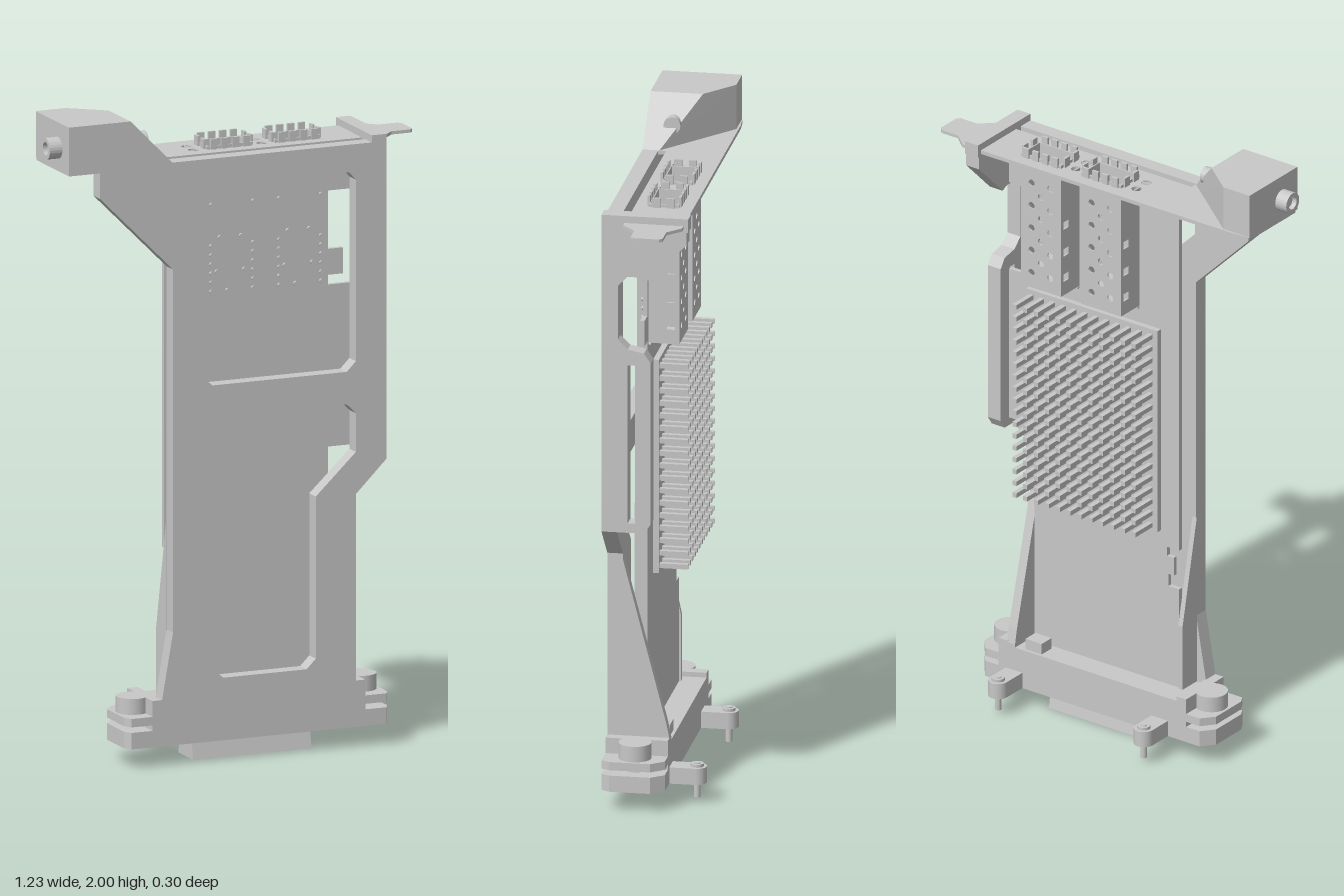
import * as THREE from 'three';
import { ConvexGeometry } from 'three/addons/geometries/ConvexGeometry.js';

export function createModel() {
  const model = new THREE.Group();
  const grey = new THREE.MeshStandardMaterial({ color: 0xc8c8c8, side: THREE.DoubleSide });
  grey.name = 'neutral grey';

  const add = (name, geometry, parent = model) => {
    const mesh = new THREE.Mesh(geometry, grey);
    mesh.name = name;
    parent.add(mesh);
    return mesh;
  };
  const group = (name) => {
    const g = new THREE.Group();
    g.name = name;
    model.add(g);
    return g;
  };
  // Box given by its limits
  const box = (name, x0, x1, y0, y1, z0, z1, parent) =>
    add(name, new THREE.BoxGeometry(x1 - x0, y1 - y0, z1 - z0)
      .translate((x0 + x1) / 2, (y0 + y1) / 2, (z0 + z1) / 2), parent);
  // Outline wound counter-clockwise, so that walls of holes face inwards
  const outline = (points, holes = []) => {
    const pts = points.map(([x, y]) => new THREE.Vector2(x, y));
    if (THREE.ShapeUtils.isClockWise(pts)) pts.reverse();
    const shape = new THREE.Shape(pts);
    for (const h of holes) shape.holes.push(new THREE.Path(h.map(([x, y]) => new THREE.Vector2(x, y))));
    return shape;
  };
  const extrude = (shape, depth) => new THREE.ExtrudeGeometry(shape, { depth, bevelEnabled: false });
  // Slabs facing front (x, y), side (z, y) and up (x, z)
  const frontSlab = (name, pts, holes, z0, z1, parent) =>
    add(name, extrude(outline(pts, holes), z1 - z0).translate(0, 0, z0), parent);
  const sideSlab = (name, pts, holes, x0, x1, parent) =>
    add(name, extrude(outline(pts, holes), x1 - x0).rotateY(-Math.PI / 2).translate(x1, 0, 0), parent);
  const flatSlab = (name, pts, holes, y0, y1, parent) =>
    add(name, extrude(outline(pts, holes), y1 - y0).rotateX(Math.PI / 2).translate(0, y1, 0), parent);
  const post = (name, x, z, r, y0, y1, parent) =>
    add(name, new THREE.CylinderGeometry(r, r, y1 - y0, 20).translate(x, (y0 + y1) / 2, z), parent);
  const rect = (x0, x1, y0, y1) => [[x0, y0], [x1, y0], [x1, y1], [x0, y1]];
  const circle = (x, y, r) => Array.from({ length: 16 }, (_, i) =>
    [x + r * Math.cos(i * Math.PI / 8), y + r * Math.sin(i * Math.PI / 8)]);

  // Front carrier plate with two windows
  const upperWindow = [[-0.2, 1.775], [0.35, 1.775], [0.372, 1.75], [0.372, 1.19], [0.342, 1.16],
    [-0.1, 1.16], [-0.135, 1.19], [-0.135, 1.6], [-0.225, 1.69], [-0.225, 1.75]];
  const lowerWindow = [[-0.105, 1.06], [0.342, 1.06], [0.372, 1.03], [0.372, 0.91], [0.24, 0.785], [0.24, 0.285],
    [0.21, 0.255], [-0.065, 0.255], [-0.095, 0.285], [-0.095, 0.785], [-0.135, 0.82], [-0.135, 1.03]];
  frontSlab('frontPlate', [[-0.573, 1.86], [-0.23, 1.86], [0.473, 1.86], [0.473, 0.88], [0.372, 0.78], [0.372, 0.15],
    [-0.275, 0.15], [-0.265, 0.21], [-0.23, 0.41], [-0.23, 1.53], [-0.47, 1.77], [-0.47, 1.85]],
  [upperWindow, lowerWindow], 0.102, 0.15);

  // Side wall with a long slot and a cut-out under the bracket
  sideSlab('sideWall', [[0.102, 0.88], [0.102, 1.86], [-0.11, 1.86], [-0.11, 1.8], [0.01, 1.68], [0.03, 1.69],
    [0.07, 1.69], [0.1, 1.66], [0.1, 1.49], [0.07, 1.46], [0.02, 1.45], [0, 1.42], [0, 0.91], [0.02, 0.88]],
  [rect(0.048, 0.07, 0.91, 1.41)], 0.425, 0.473);

  // Tapered gusset rising from the foot, and a shallow rib on the other side
  sideSlab('leftGusset', [[0.102, 0.76], [0.102, 0.1], [-0.04, 0.1], [-0.04, 0.2], [-0.03, 0.25]], [], 0.342, 0.372);
  sideSlab('rightRib', [[0.102, 0.74], [0.102, 0.1], [0.03, 0.1], [0.03, 0.4]], [], -0.232, -0.216);

  // Circuit board with stepped edges
  frontSlab('circuitBoard', [[-0.215, 1.84], [0.42, 1.84], [0.42, 1.7], [0.325, 1.7], [0.325, 1.52], [0.375, 1.52],
    [0.375, 1.44], [0.325, 1.44], [0.325, 1.41], [0.42, 1.41], [0.42, 0.91], [0.325, 0.91], [0.325, 0.1],
    [-0.215, 0.1], [-0.215, 0.52], [-0.175, 0.52], [-0.175, 0.56], [-0.195, 0.56], [-0.195, 0.62],
    [-0.17, 0.62], [-0.17, 0.65], [-0.215, 0.65]], [], 0.036, 0.05);

  // Heat sink with a field of pins
  const sink = group('heatSink');
  box('chip', -0.05, 0.22, 0.9, 1.2, 0.014, 0.037, sink);
  box('heatSinkBase', -0.16, 0.33, 0.71, 1.385, 0, 0.018, sink);
  const pins = new THREE.BoxGeometry(0.015, 0.015, 0.09);
  for (let r = 0; r < 17; r++) for (let c = 0; c < 12; c++) {
    add('heatSinkPin', pins, sink).position.set(-0.135 + c * 0.0405, 0.73 + r * 0.0395, -0.041);
  }

  // Two open cages with perforated walls, spring fingers and solder pins
  for (const x0 of [-0.067, 0.157]) {
    const cage = group('portCage');
    const x1 = x0 + 0.15, z0 = -0.058, z1 = 0.036, t = 0.006, y0 = 1.43, y1 = 1.87;
    const backHoles = [], sideHoles = [];
    for (let r = 0; r < 5; r++) {
      for (let c = 0; c < 2; c++) backHoles.push(circle(x0 + 0.04 + c * 0.07, 1.48 + r * 0.075, 0.011));
      if (r < 4) backHoles.push(circle(x0 + 0.075, 1.517 + r * 0.075, 0.011));
    }
    for (const y of [1.475, 1.56, 1.65]) sideHoles.push(rect(-0.045, -0.02, y, y + 0.025));
    frontSlab('cageBack', rect(x0, x1, y0, y1), backHoles, z0, z0 + t, cage);
    box('cageFront', x0, x1, y0, y1, z1 - t, z1, cage);
    sideSlab('cageSide', rect(z0, z1, y0, y1), sideHoles, x0, x0 + t, cage);
    sideSlab('cageSide', rect(z0, z1, y0, y1), sideHoles, x1 - t, x1, cage);
    box('cageFloor', x0, x1, y0, y0 + t, z0, z1, cage);
    box('cageInnerStop', x0, x1, 1.5, 1.51, z0, z1, cage);
    for (let i = 0; i < 4; i++) {
      const x = x0 + 0.01 + i * 0.036;
      for (const z of [z0 - 0.005, z1 - 0.003]) box('springFinger', x, x + 0.022, 1.835, 1.892, z, z + 0.008, cage);
    }
    for (const x of [x0 - 0.006, x1 - 0.002]) for (const z of [-0.045, 0])
      box('springFinger', x, x + 0.008, 1.835, 1.89, z, z + 0.024, cage);
    for (const x of [x0 + 0.006, x1 - 0.006]) for (let r = 0; r < 7; r++) {
      const y = 1.425 + r * 0.028 + (r > 5 ? 0.1 : 0);
      add('solderPin', new THREE.CylinderGeometry(0.006, 0.006, 0.03, 8).rotateX(Math.PI / 2), cage)
        .position.set(x, y, 0.043);
    }
    for (const [x, y] of [[0.025, 1.485], [0.115, 1.485], [0.035, 1.59], [0.105, 1.59], [0.06, 1.425]]) {
      add('solderPin', new THREE.CylinderGeometry(0.007, 0.007, 0.03, 8).rotateX(Math.PI / 2), cage)
        .position.set(x0 + x, y, 0.043);
    }
  }

  // Top bracket with cage openings, barred indicator holes, end cap and handle tab
  const bracket = group('topBracket');
  const openings = [rect(-0.064, 0.08, -0.055, 0.033), rect(0.16, 0.304, -0.055, 0.033)];
  for (const x of [-0.105, 0.12]) {
    for (const z of [-0.03, 0.02]) openings.push(circle(x, z, 0.016));
    box('indicatorBar', x - 0.002, x + 0.002, 1.849, 1.859, -0.046, -0.014, bracket);
    box('indicatorBar', x - 0.016, x + 0.016, 1.849, 1.859, 0.018, 0.022, bracket);
  }
  flatSlab('bracketPlate', [[-0.57, 0.145], [-0.57, -0.095], [-0.51, -0.1], [0.47, -0.1], [0.47, 0.078],
    [-0.23, 0.078], [-0.23, 0.145]], openings, 1.848, 1.86, bracket);
  flatSlab('handleTab', [[0.46, -0.1], [0.495, -0.1], [0.54, -0.06], [0.602, -0.06], [0.612, -0.05], [0.612, 0.028],
    [0.602, 0.038], [0.54, 0.038], [0.495, 0.08], [0.46, 0.08]], [], 1.85, 1.86, bracket);
  box('bracketEndCap', 0.425, 0.473, 1.84, 1.882, -0.115, 0.15, bracket);

  // Corner block with a sloped and a diagonal face
  const corner = [];
  for (const [x, z] of [[-0.573, -0.093], [-0.475, -0.093], [-0.37, -0.01], [-0.37, 0.15], [-0.573, 0.15]])
    corner.push(new THREE.Vector3(x, 2, z));
  for (const [x, z] of [[-0.573, -0.093], [-0.475, -0.093], [-0.23, 0.1], [-0.23, 0.15], [-0.573, 0.15]])
    corner.push(new THREE.Vector3(x, 1.858, z));
  add('cornerBlock', new ConvexGeometry(corner));

  // Screw through the block: inner end on the slope, hollow knob outside
  add('screwEnd', new THREE.CylinderGeometry(0.026, 0.026, 0.1, 20).rotateZ(Math.PI / 2))
    .position.set(-0.336, 1.922, 0.07);
  const knob = new THREE.LatheGeometry([[0, -0.01], [0.033, -0.01], [0.033, 0.041],
    [0.02, 0.041], [0.02, 0.025], [0, 0.025]].map(([r, y]) => new THREE.Vector2(r, y)), 24).toNonIndexed();
  knob.computeVertexNormals();
  add('sideKnob', knob.rotateZ(Math.PI / 2).translate(-0.573, 1.922, 0.07));

  // Foot with slotted ears, screws and guide pins
  const foot = group('foot');
  box('footBody', -0.27, 0.375, 0.062, 0.19, -0.04, 0.15, foot);
  box('footRib', 0.25, 0.31, 0.19, 0.225, -0.03, 0.02, foot);
  const middle = 0.053;
  for (const s of [-1, 1]) {
    const at = (d) => middle + s * d;
    const ear = [[at(0.3), 0.15], [at(0.42), 0.15], [at(0.433), 0.125], [at(0.433), 0], [at(0.4), -0.04], [at(0.3), -0.04]];
    flatSlab('lowerEar', ear, [], 0.062, 0.113, foot);
    flatSlab('upperEar', ear, [], 0.13, 0.156, foot);
    post('earScrew', at(0.37), 0.055, 0.022, 0.1, 0.14, foot);
    post('earScrewHead', at(0.375), 0.055, 0.05, 0.15, 0.205, foot);
    box('earShoulder', at(0.3325) - 0.0175, at(0.3325) + 0.0175, 0.1, 0.205, -0.04, 0.15, foot);
  }
  for (const x of [-0.198, 0.346]) {
    post('guideLug', x, -0.119, 0.031, 0.062, 0.113, foot);
    box('guideLugArm', x - 0.031, x + 0.031, 0.062, 0.113, -0.119, -0.035, foot);
    post('guidePin', x, -0.12, 0.01, 0.015, 0.125, foot);
    post('guidePinHead', x, -0.12, 0.02, 0.11, 0.122, foot);
  }

  // Plug under the foot
  sideSlab('plug', [[0.108, 0], [0.095, 0.065], [0.01, 0.065], [0, 0]], [], -0.145, 0.245);
  return model;
}
